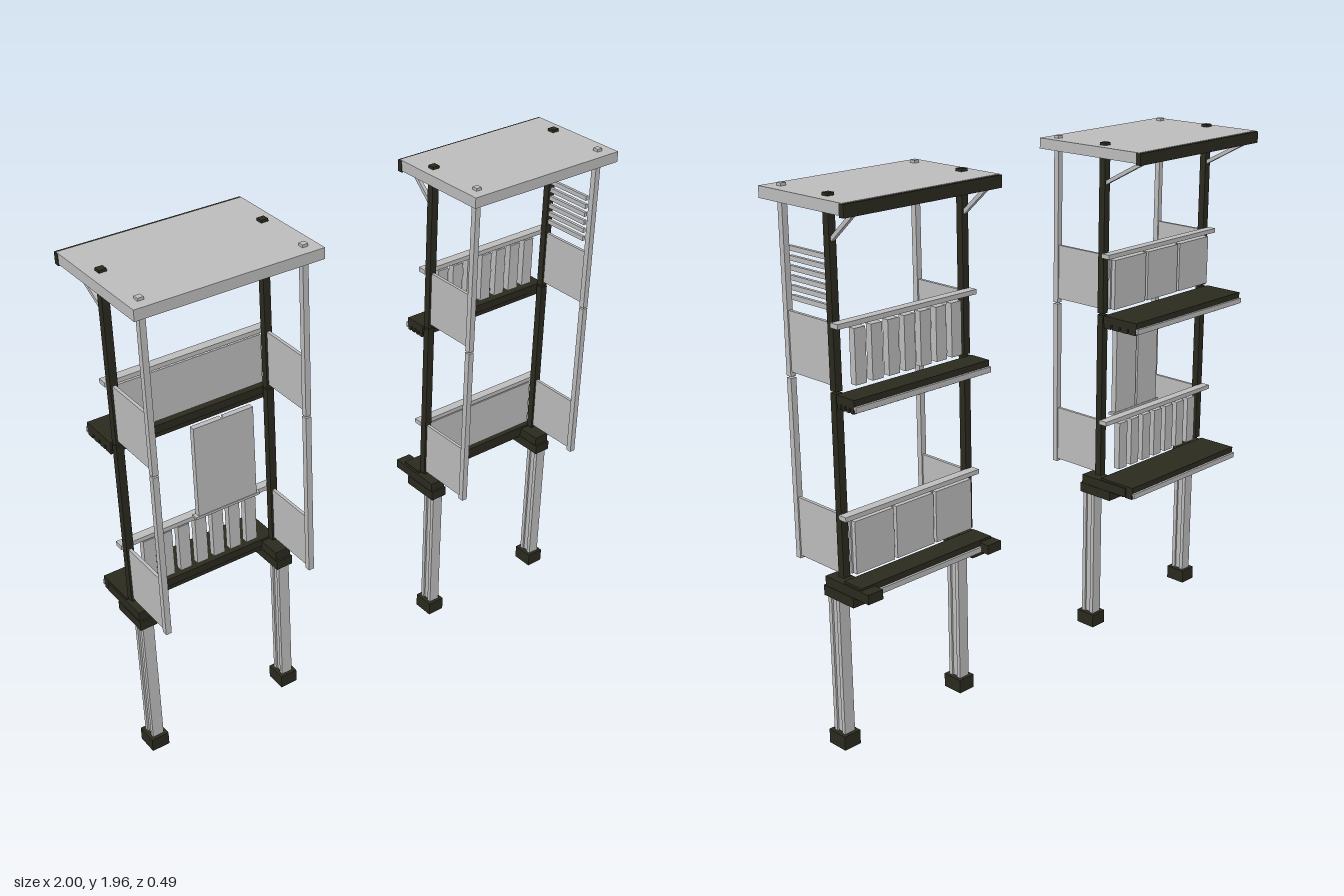
import * as THREE from 'three';

const lightGrey = new THREE.MeshStandardMaterial({ color: 0xbcbcbc });
const darkOlive = new THREE.MeshStandardMaterial({ color: 0x2b2a1f });

// Box given by its two extreme corners
function box(parent, name, mat, [x0, x1], [y0, y1], [z0, z1]) {
  const mesh = new THREE.Mesh(new THREE.BoxGeometry(x1 - x0, y1 - y0, z1 - z0), mat);
  mesh.position.set((x0 + x1) / 2, (y0 + y1) / 2, (z0 + z1) / 2);
  mesh.name = name;
  parent.add(mesh);
  return mesh;
}

const around = (c, w) => [c - w / 2, c + w / 2];

// Square strut running between two heights and depths
function strut(parent, name, mat, x, y0, z0, y1, z1) {
  const mesh = new THREE.Mesh(new THREE.BoxGeometry(0.014, 0.014, Math.hypot(y1 - y0, z1 - z0)), mat);
  mesh.position.set(x, (y0 + y1) / 2, (z0 + z1) / 2);
  mesh.rotation.x = -Math.atan2(y1 - y0, z1 - z0);
  mesh.name = name;
  parent.add(mesh);
}

// Leg with flanges and web, its foot and the bracket that carries the tower
function leg(parent, x) {
  const g = new THREE.Group();
  g.name = 'leg';
  box(g, 'legFlange', lightGrey, around(x, 0.044), [0, 0.58], [0.018, 0.034]);
  box(g, 'legFlange', lightGrey, around(x, 0.044), [0, 0.58], [-0.023, -0.007]);
  box(g, 'legWeb', lightGrey, around(x, 0.03), [0, 0.58], [-0.01, 0.02]);
  box(g, 'foot', darkOlive, around(x, 0.07), [0.002, 0.055], [-0.036, 0.047]);
  box(g, 'lowerBracket', darkOlive, around(x, 0.068), [0.575, 0.612], [-0.112, 0.04]);
  box(g, 'upperBracket', darkOlive, around(x, 0.064), [0.612, 0.647], [-0.188, 0.032]);
  parent.add(g);
}

// Deck: top slab, long ribs below and a pale strip along the back edge
function deck(parent, x, y, back) {
  const g = new THREE.Group();
  g.name = 'deck';
  box(g, 'deckSlab', darkOlive, x, [y - 0.03, y], [back, -0.06]);
  const ribs = 4, step = (-0.06 - back) / ribs;
  for (let i = 0; i < ribs; i++) {
    const z = back + i * step;
    box(g, 'deckRib', darkOlive, x, [y - 0.048, y - 0.028], [z + 0.004, z + step - 0.004]);
  }
  box(g, 'deckEdgeStrip', lightGrey, x, [y - 0.042, y - 0.022], [back - 0.009, back]);
  parent.add(g);
}

// Rail on top of either a solid panel or a row of slats
function balustrade(parent, posts, rail, y, solid, firstSlat) {
  const g = new THREE.Group();
  g.name = 'balustrade';
  box(g, 'rail', lightGrey, rail, [y + 0.2, y + 0.217], [-0.086, -0.05]);
  if (solid) {
    const x0 = posts[0] + 0.012, x1 = posts[1] - 0.012, w = (x1 - x0) / 3;
    box(g, 'panelFace', lightGrey, [x0, x1], [y, y + 0.19], [-0.066, -0.057]);
    for (let i = 0; i < 3; i++) {
      box(g, 'panelBoard', lightGrey, [x0 + i * w + 0.006, x0 + (i + 1) * w - 0.006], [y, y + 0.19], [-0.083, -0.066]);
    }
  } else {
    for (let i = 0; i < 7; i++) {
      box(g, 'slat', lightGrey, around(firstSlat + i * 0.0705, 0.046), [y, y + 0.19], [-0.083, -0.057]);
    }
  }
  parent.add(g);
}

function tower(o) {
  const g = new THREE.Group();
  g.name = o.name;
  o.legs.forEach((x) => leg(g, x));

  // Posts in two lifts, side panels and roof braces
  for (const x of o.posts) {
    for (const y of [[0.66, 1.308], [1.314, 1.957]]) {
      box(g, 'rearPost', darkOlive, around(x, 0.028), y, [-0.053, -0.026]);
      box(g, 'frontPost', lightGrey, around(x, 0.022), y, [0.181, 0.203]);
    }
    for (const y of [[0.67, 0.885], [1.33, 1.54]]) {
      box(g, 'sidePanel', lightGrey, around(x, 0.012), y, [-0.027, 0.182]);
    }
    strut(g, 'roofBrace', lightGrey, x, 1.81, -0.05, 1.908, o.back + 0.018);
  }

  // Decks with their balustrades
  const deckX = [o.rail[0] + 0.004, o.rail[1] - 0.004];
  [[0.655, 0.675], [1.31, 1.33]].forEach(([deckY, railY], i) => {
    deck(g, deckX, deckY, o.deckBack);
    balustrade(g, o.posts, o.rail, railY, o.solid[i], o.firstSlat);
  });

  // Roof with a dark fascia along the back
  box(g, 'roof', lightGrey, o.roof, [1.907, 1.947], [o.back + 0.01, 0.243]);
  box(g, 'roofFascia', darkOlive, [o.roof[0] - 0.002, o.roof[1] + 0.002], [1.902, 1.945], [o.back, o.back + 0.022]);
  return g;
}

export function createModel() {
  const model = new THREE.Group();
  model.name = 'twinTowers';

  const right = tower({
    name: 'rightTower', legs: [-0.938, -0.358], posts: [-0.949, -0.35], rail: [-0.97, -0.328],
    roof: [-0.998, -0.302], back: -0.25, deckBack: -0.221, solid: [false, true], firstSlat: -0.858,
  });
  const left = tower({
    name: 'leftTower', legs: [0.383, 0.935], posts: [0.374, 0.943], rail: [0.356, 0.965],
    roof: [0.325, 0.996], back: -0.178, deckBack: -0.147, solid: [true, false], firstSlat: 0.45,
  });

  // Hanging screen of two boards below the right tower's upper deck
  box(right, 'screenFace', lightGrey, [-0.668, -0.424], [0.9, 1.265], [-0.036, -0.028]);
  for (const x of [[-0.668, -0.551], [-0.541, -0.424]]) {
    box(right, 'screenBoard', lightGrey, x, [0.9, 1.265], [-0.05, -0.036]);
  }
  box(right, 'screenSill', lightGrey, [-0.68, -0.41], [0.89, 0.9], [-0.052, -0.026]);

  // Louvre on the outer side of the left tower
  for (let i = 0; i < 6; i++) {
    box(left, 'louvreBlade', lightGrey, around(0.943, 0.012), around(1.588 + i * 0.0325, 0.017), [-0.027, 0.162]);
  }

  model.add(right, left);
  return model;
}
